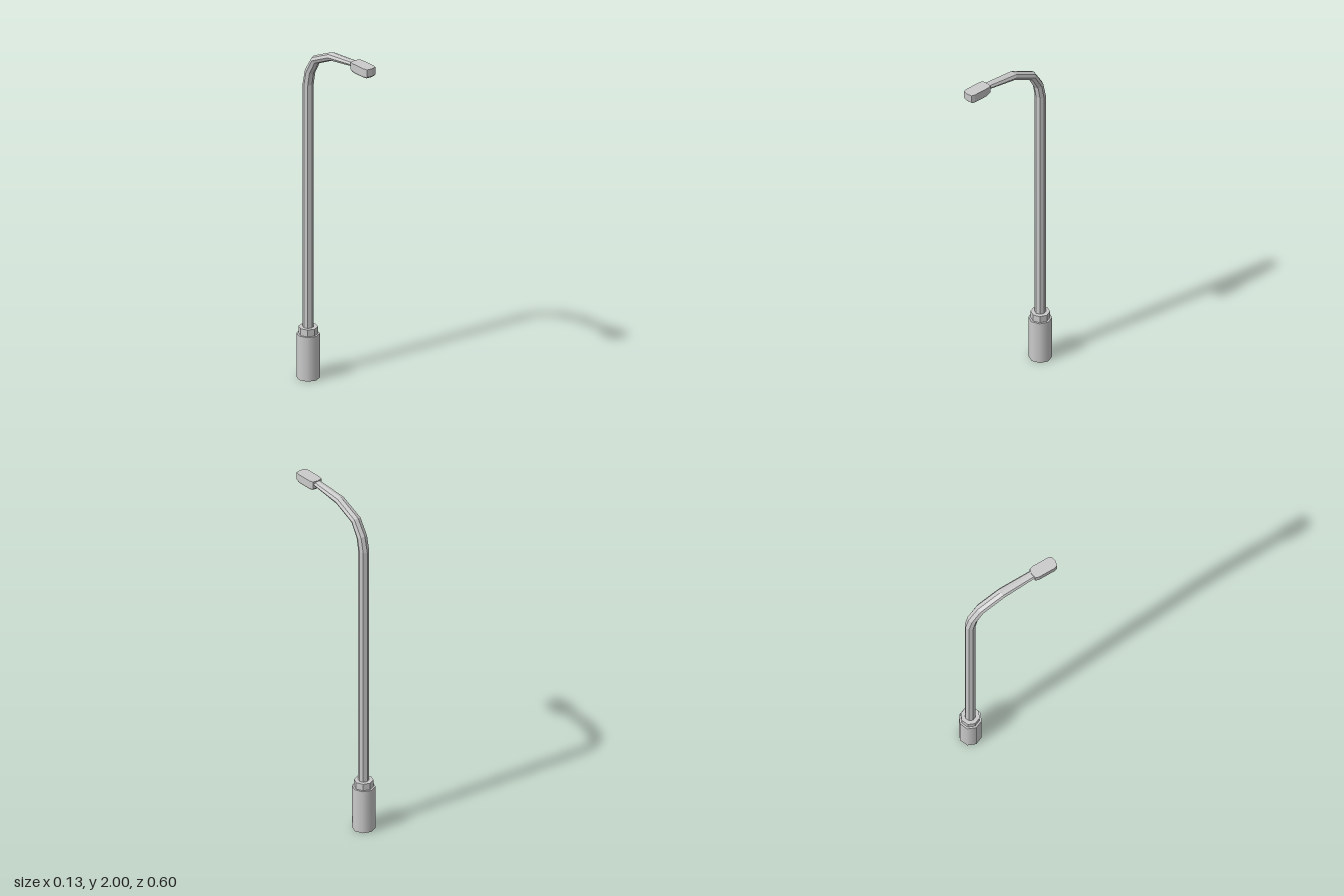
import * as THREE from 'three';

const SIDES = 8;
const POLE_Z = -0.237;

// Skin a list of eight-sided rings: [y, z, tilt towards +z, half width, half depth]
function loft(stations) {
  const pos = [], index = [];
  for (const [y, z, tilt, rx, rd] of stations) {
    for (let i = 0; i < SIDES; i++) {
      const a = (i / SIDES) * Math.PI * 2;
      const d = Math.cos(a) * rd;
      pos.push(Math.sin(a) * rx, y - d * Math.sin(tilt), z + d * Math.cos(tilt));
    }
  }
  for (let s = 0; s < stations.length - 1; s++) {
    for (let i = 0; i < SIDES; i++) {
      const j = (i + 1) % SIDES;
      const a = s * SIDES + i, b = s * SIDES + j;
      index.push(a, b, b + SIDES, a, b + SIDES, a + SIDES);
    }
  }
  // End caps
  const last = (stations.length - 1) * SIDES;
  for (let i = 1; i < SIDES - 1; i++) {
    index.push(0, i + 1, i, last, last + i, last + i + 1);
  }
  const geo = new THREE.BufferGeometry();
  geo.setAttribute('position', new THREE.Float32BufferAttribute(pos, 3));
  geo.setIndex(index);
  const flat = geo.toNonIndexed();
  flat.computeVertexNormals();
  return flat;
}

export function createModel() {
  const group = new THREE.Group();
  const flat = new THREE.MeshStandardMaterial({ color: 0xcccccc, flatShading: true });
  const smooth = new THREE.MeshStandardMaterial({ color: 0xcccccc });

  const add = (name, geo, mat, y = 0, z = 0) => {
    const mesh = new THREE.Mesh(geo, mat);
    mesh.name = name;
    mesh.position.set(0, y, z);
    group.add(mesh);
  };

  // Foot of the post and the collar above it
  add('base', new THREE.CylinderGeometry(0.064, 0.064, 0.26, SIDES), smooth, 0.13, POLE_Z);
  add('collar', new THREE.CylinderGeometry(0.053, 0.053, 0.04, SIDES), flat, 0.28, POLE_Z);

  // Straight pole bending forward into a tapering arm
  add('poleAndArm', loft([
    [0.29, POLE_Z, 0, 0.03, 0.03],
    [1.735, POLE_Z, 0, 0.03, 0.03],
    [1.815, -0.221, 0.36, 0.03, 0.028],
    [1.898, -0.172, 0.80, 0.03, 0.025],
    [1.961, -0.038, 1.30, 0.03, 0.023],
    [1.983, 0.165, 1.50, 0.025, 0.015],
  ]), flat);

  // Lamp head: rounded plan, drawn in (x, z), with a narrowed underside
  const plan = new THREE.Shape([
    [0, -0.075], [0.03, -0.069], [0.036, -0.047], [0.036, 0.047], [0.03, 0.069],
    [0, 0.075], [-0.03, 0.069], [-0.036, 0.047], [-0.036, -0.047], [-0.03, -0.069],
  ].map(([x, z]) => new THREE.Vector2(x, z)));
  const head = new THREE.ExtrudeGeometry(plan, { depth: 0.055, steps: 2, bevelEnabled: false });
  head.rotateX(Math.PI / 2);
  const p = head.attributes.position;
  for (let i = 0; i < p.count; i++) {
    const y = p.getY(i);
    if (y < -0.05) p.setXYZ(i, p.getX(i) * 0.84, y, p.getZ(i) * 0.84);
    else if (y < -0.01) p.setY(i, -0.044);
  }
  head.computeVertexNormals();
  add('lampHead', head, flat, 2, 0.225);

  return group;
}
